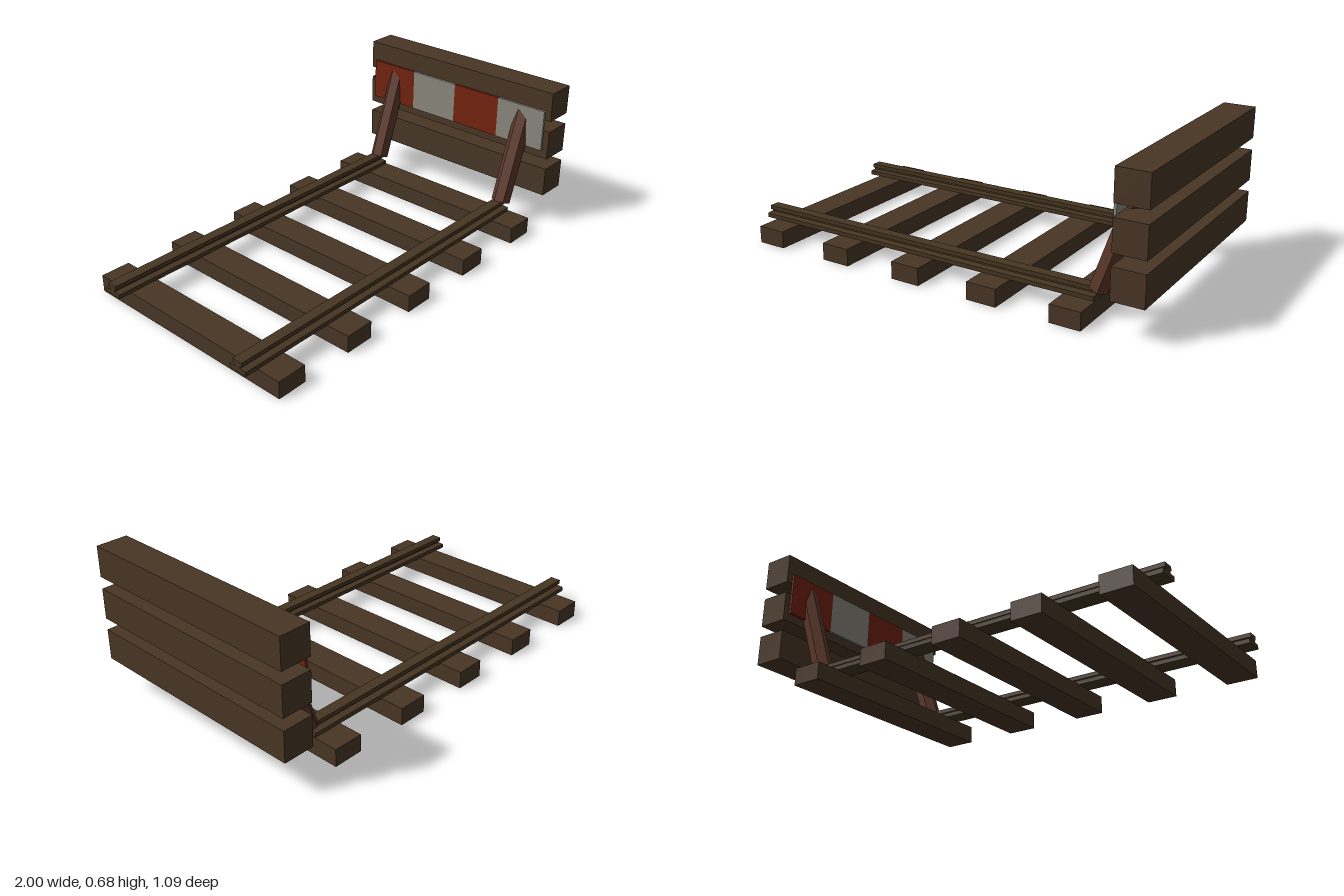
import * as THREE from 'three';

const material = (name, color) => {
  const m = new THREE.MeshStandardMaterial({ color });
  m.name = name;
  return m;
};

export function createModel() {
  const wood = material('dark timber', 0x483625);
  const steel = material('weathered rail', 0x463522);
  const rust = material('rusty brace', 0x5c3729);
  const red = material('warning red', 0x74220f);
  const grey = material('warning grey', 0x8b877d);

  const group = new THREE.Group();
  const add = (name, geometry, mat, x, y, z) => {
    const mesh = new THREE.Mesh(geometry, mat);
    mesh.name = name;
    mesh.position.set(x, y, z);
    group.add(mesh);
    return mesh;
  };

  // Sleepers
  const sleeper = new THREE.BoxGeometry(0.14, 0.08, 1.09);
  for (let i = 0; i < 5; i++) add('sleeper', sleeper, wood, -0.87 + i * 0.385, 0.04, 0);

  // Rail cross-section: wide foot, narrow web, raised head
  const half = [[0.045, 0.078], [0.045, 0.098], [0.014, 0.101], [0.014, 0.108], [0.025, 0.112], [0.025, 0.131]];
  const outline = [...half, ...half.map(([x, y]) => [-x, y]).reverse()];
  const section = new THREE.Shape(outline.map(([x, y]) => new THREE.Vector2(x, y)));
  const rail = new THREE.ExtrudeGeometry(section, { depth: 1.735, bevelEnabled: false });
  rail.rotateY(Math.PI / 2);

  // Six-sided leaning brace, with its lower end at the origin
  const length = 0.487;
  const brace = new THREE.CylinderGeometry(0.0455, 0.0455, length, 6, 1, false, THREE.MathUtils.degToRad(17)).toNonIndexed();
  brace.computeVertexNormals();
  brace.translate(0, length / 2, 0);

  for (const z of [-0.386, 0.386]) {
    add('rail', rail, steel, -1, 0, z);
    add('brace', brace, rust, 0.735, 0.118, z).rotation.z = -THREE.MathUtils.degToRad(19.2);
  }

  // Buffer beams
  const beam = new THREE.BoxGeometry(0.143, 0.14, 1.09);
  for (const y of [0.227, 0.42, 0.614]) add('bufferBeam', beam, wood, 0.9285, y, 0);

  // Striped warning board on the track side of the beams
  const stripe = new THREE.BoxGeometry(0.012, 0.2, 0.2575);
  for (let i = 0; i < 4; i++) {
    add('warningStripe', stripe, i % 2 ? grey : red, 0.851, 0.49, -0.38625 + i * 0.2575);
  }

  return group;
}
